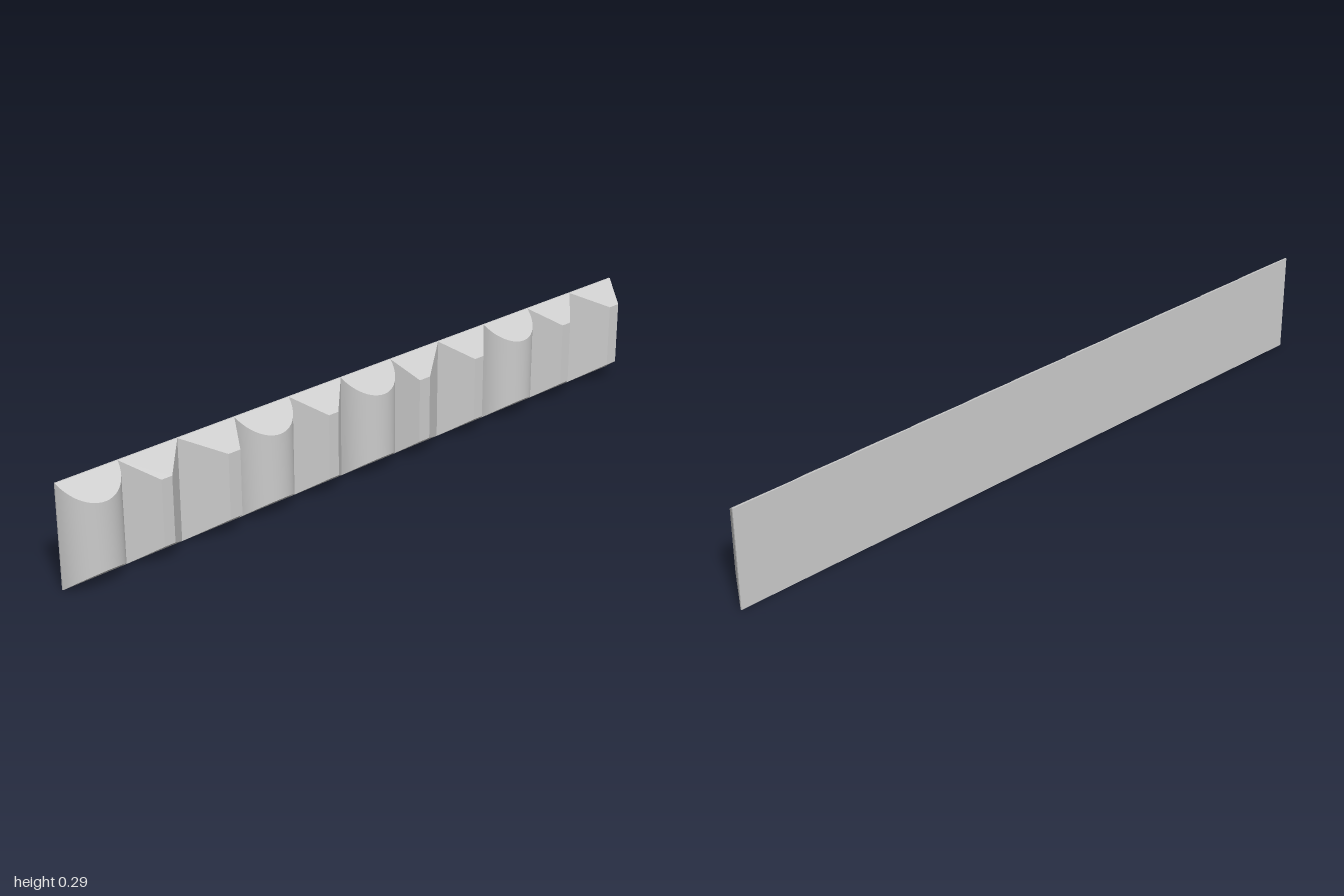
import * as THREE from 'three';
import { toCreasedNormals } from 'three/addons/utils/BufferGeometryUtils.js';

const HEIGHT = 0.288, BACK = -0.038, BASE = -0.034, FRONT = 0.038;
const CELLS = 11, WIDTH = 2 / CELLS;
const DEPTH = FRONT - BASE;
const BEVEL = 0.052; // how far top and bottom draw in at the front

// Plan outlines as [fraction of cell width, depth]
const flatProfile = (a, b) => [[0, 0], [a, DEPTH], [b, DEPTH], [1, 0]];

function roundProfile(segments = 20) {
  const half = WIDTH / 2;
  const r = (half * half + DEPTH * DEPTH) / (2 * DEPTH);
  const spread = Math.asin(half / r);
  const points = [];
  for (let i = 0; i <= segments; i++) {
    const t = spread * (2 * i / segments - 1);
    points.push([0.5 + r * Math.sin(t) / WIDTH, r * Math.cos(t) - (r - DEPTH)]);
  }
  return points;
}

const PROFILES = {
  roundRib: roundProfile(),
  evenRib: flatProfile(0.41, 0.59),
  leftLeaningRib: flatProfile(0.56, 0.77),
  rightLeaningRib: flatProfile(0.23, 0.44),
};

// Upright rib whose ends slope inwards towards the front
function ribGeometry(profile) {
  const shape = new THREE.Shape(
    profile.map(([u, d]) => new THREE.Vector2((u - 0.5) * WIDTH, -d)));
  const geo = new THREE.ExtrudeGeometry(shape, { depth: HEIGHT, bevelEnabled: false });
  geo.rotateX(-Math.PI / 2);
  const p = geo.attributes.position;
  for (let i = 0; i < p.count; i++) {
    const inset = BEVEL * p.getZ(i) / DEPTH;
    p.setY(i, p.getY(i) > HEIGHT / 2 ? HEIGHT - inset : inset);
  }
  return toCreasedNormals(geo, 0.4);
}

export function createModel() {
  const group = new THREE.Group();
  group.name = 'ribbedPanel';
  const material = new THREE.MeshStandardMaterial({ color: 0xcccccc });

  // Thin backing strip
  const plate = new THREE.Mesh(new THREE.BoxGeometry(2, HEIGHT, BASE - BACK), material);
  plate.name = 'backPlate';
  plate.position.set(0, HEIGHT / 2, (BASE + BACK) / 2);
  group.add(plate);

  // Row of ribs from -x to +x
  const order = ['roundRib', 'evenRib', 'leftLeaningRib', 'roundRib', 'evenRib', 'roundRib',
    'rightLeaningRib', 'evenRib', 'roundRib', 'evenRib', 'leftLeaningRib'];
  const geometries = {};
  for (const name in PROFILES) geometries[name] = ribGeometry(PROFILES[name]);
  order.forEach((name, i) => {
    const rib = new THREE.Mesh(geometries[name], material);
    rib.name = name;
    rib.position.set(-1 + (i + 0.5) * WIDTH, 0, BASE);
    group.add(rib);
  });
  return group;
}
